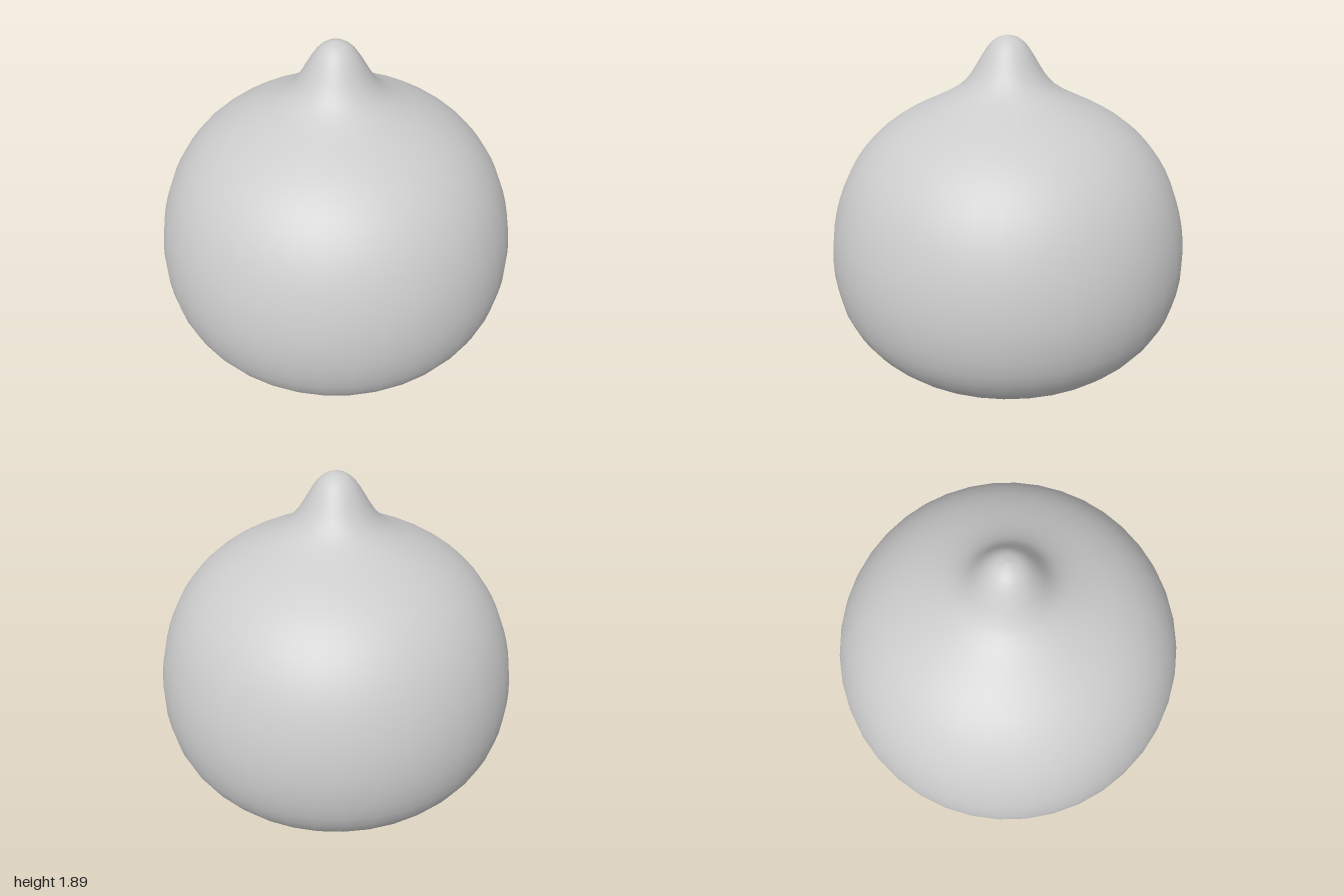
import * as THREE from 'three';

// Profile of the body from the centre of the base up to the tip: [radius, height]
const PROFILE = [
  [0, 0], [0.12, 0], [0.23, 0.007], [0.38, 0.022], [0.53, 0.052], [0.67, 0.107],
  [0.8, 0.195], [0.9, 0.31], [0.967, 0.45], [0.997, 0.63], [0.99, 0.8],
  [0.96, 0.95], [0.91, 1.092], [0.84, 1.22], [0.745, 1.335], [0.63, 1.428],
  [0.5, 1.502], [0.37, 1.563], [0.265, 1.623], [0.2, 1.69], [0.15, 1.77],
  [0.1, 1.845], [0.05, 1.884], [0, 1.895],
];

export function createModel() {
  const group = new THREE.Group();
  group.name = 'onionDome';

  const grey = new THREE.MeshStandardMaterial({ color: 0xcccccc });
  grey.name = 'light grey';

  // Smooth round body that draws in to a rounded tip
  const curve = new THREE.SplineCurve(PROFILE.map(([r, y]) => new THREE.Vector2(r, y)));
  const points = curve.getPoints((PROFILE.length - 1) * 2);
  points.forEach((p) => p.set(Math.max(0, p.x), Math.max(0, p.y)));
  const body = new THREE.Mesh(new THREE.LatheGeometry(points, 40), grey);
  body.name = 'body';
  group.add(body);

  return group;
}
